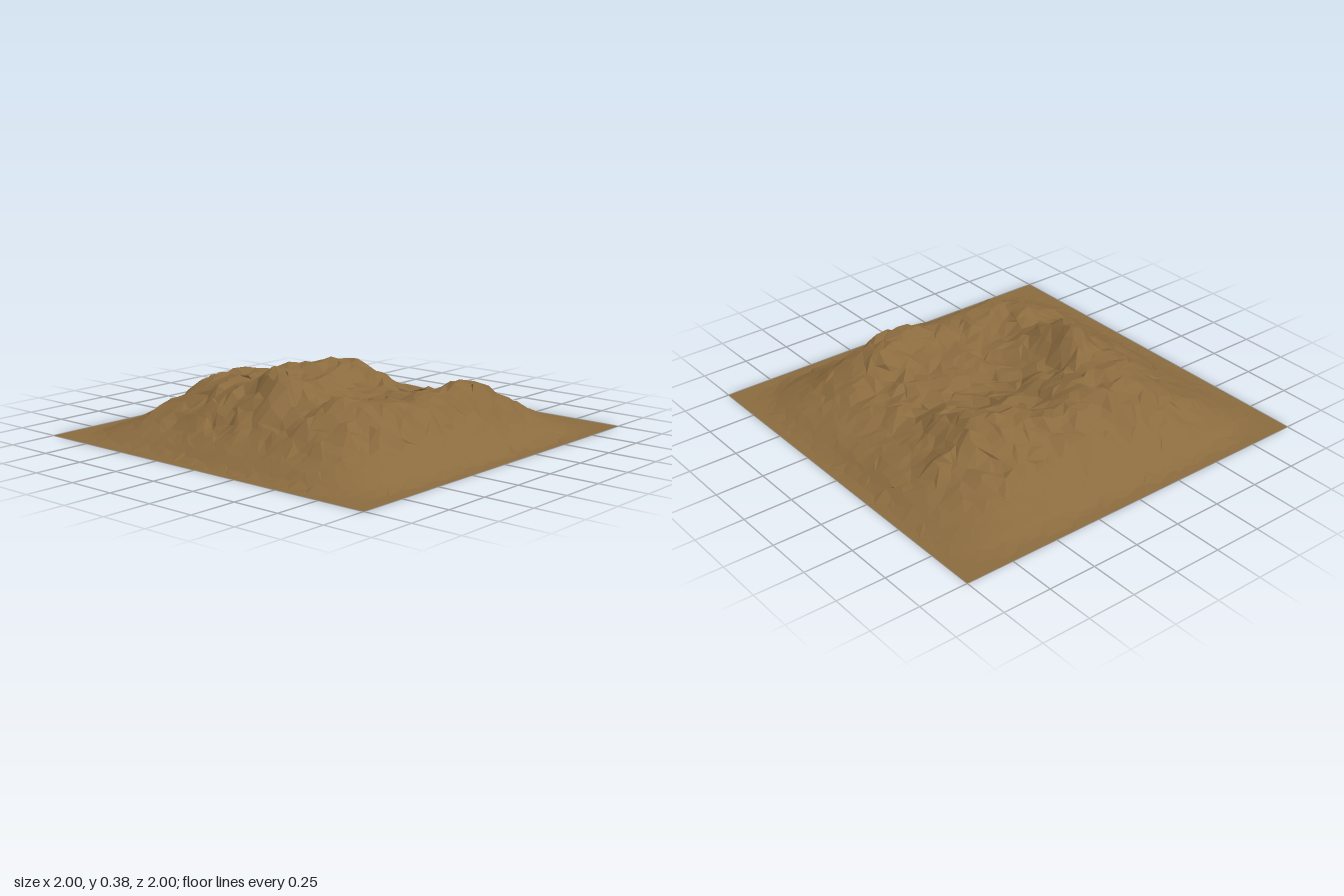
import * as THREE from 'three';

// Broad heights in hundredths, 0.2 apart: rows run back to front, columns from -x to +x
const RELIEF = [
  [3, 5, 7, 8, 7, 6, 6, 6, 3],
  [5, 12, 16, 14, 11, 12, 14, 14, 7],
  [6, 17, 25, 26, 17, 16, 20, 25, 8],
  [7, 20, 26, 22, 15, 17, 23, 28, 9],
  [8, 22, 24, 20, 16, 18, 23, 24, 9],
  [8, 23, 27, 25, 20, 20, 23, 24, 9],
  [8, 23, 28, 29, 34, 26, 27, 24, 8],
  [6, 15, 19, 21, 22, 20, 22, 18, 7],
  [3, 6, 7, 8, 9, 8, 8, 7, 3],
];

// Sharper crests and hollows: x, z, radius, height
const FEATURES = [
  [-0.08, 0.4, 0.08, 0.045],
  [0.06, 0.41, 0.08, 0.03],
  [0.36, 0.45, 0.07, 0.05],
  [0.59, -0.27, 0.12, 0.015],
  [-0.35, -0.66, 0.08, 0.02],
  [0.15, -0.58, 0.08, 0.02],
  [-0.3, -0.02, 0.08, -0.02],
  [-0.28, 0.12, 0.07, 0.03],
  [-0.12, -0.3, 0.1, -0.015],
  [-0.1, 0.24, 0.06, -0.03],
];
const SEGMENTS = 40;

const reliefAt = (col, row) => (RELIEF[row]?.[col] ?? 0) / 100;

function cubic(a, b, c, d, t) {
  return b + 0.5 * t * (c - a + t * (2 * a - 5 * b + 4 * c - d + t * (3 * (b - c) + d - a)));
}

// Mountain mass with its crests and hollows
function massHeight(x, z) {
  const u = (x + 0.8) / 0.2, v = (z + 0.8) / 0.2;
  const c = Math.floor(u), r = Math.floor(v);
  const rows = [-1, 0, 1, 2].map((j) =>
    cubic(...[-1, 0, 1, 2].map((i) => reliefAt(c + i, r + j)), u - c));
  let height = cubic(...rows, v - r);
  for (const [fx, fz, radius, rise] of FEATURES) {
    height += rise * Math.exp(-((x - fx) ** 2 + (z - fz) ** 2) / radius ** 2);
  }
  return Math.max(0, height);
}

// Repeatable value in -1..1 for a lattice point
function hash(i, j, seed) {
  const s = Math.sin(i * 127.1 + j * 311.7 + seed * 74.7) * 43758.5453;
  return 2 * (s - Math.floor(s)) - 1;
}

function noise(x, z, seed) {
  const i = Math.floor(x), j = Math.floor(z);
  const { lerp, smoothstep } = THREE.MathUtils;
  const fx = smoothstep(x - i, 0, 1), fz = smoothstep(z - j, 0, 1);
  return lerp(
    lerp(hash(i, j, seed), hash(i + 1, j, seed), fx),
    lerp(hash(i, j + 1, seed), hash(i + 1, j + 1, seed), fx), fz);
}

function createTerrain() {
  const geometry = new THREE.PlaneGeometry(2, 2, SEGMENTS, SEGMENTS);
  geometry.rotateX(-Math.PI / 2);
  const position = geometry.attributes.position;
  const step = 2 / SEGMENTS;

  for (let n = 0; n < position.count; n++) {
    const i = n % (SEGMENTS + 1), j = Math.floor(n / (SEGMENTS + 1));
    let x = position.getX(n), z = position.getZ(n);

    // Uneven facets inside, straight border outside
    if (Math.max(Math.abs(x), Math.abs(z)) < 0.97) {
      x += hash(i, j, 1) * step * 0.45;
      z += hash(i, j, 2) * step * 0.45;
    }

    // Crags and gullies everywhere above the foot
    const mass = massHeight(x, z);
    const rough = THREE.MathUtils.smoothstep(mass, 0.02, 0.18);
    const crags = 0.014 * noise(x * 8, z * 8, 3) + 0.022 * noise(x * 14, z * 14, 4)
      + 0.009 * hash(i, j, 5);

    // Rounded foot that runs out onto the flat border
    const edge = (x ** 8 + z ** 8) ** (1 / 8);
    const margin = 1 - THREE.MathUtils.smoothstep(edge, 0.84, 0.99);
    position.setXYZ(n, x, Math.max(0, (mass + crags * rough) * margin), z);
  }

  // Alternate the diagonals so the facets do not line up
  const index = geometry.index;
  for (let q = 0; q < SEGMENTS * SEGMENTS; q++) {
    if (hash(q, 0, 6) < 0) continue;
    const a = index.getX(q * 6), b = index.getX(q * 6 + 1);
    const d = index.getX(q * 6 + 2), c = index.getX(q * 6 + 4);
    [a, b, c, a, c, d].forEach((corner, k) => index.setX(q * 6 + k, corner));
  }
  geometry.computeVertexNormals();
  return geometry;
}

export function createModel() {
  const group = new THREE.Group();
  group.name = 'mountain';
  const earth = new THREE.MeshStandardMaterial({
    color: 0x8b6b3f, flatShading: true, side: THREE.DoubleSide,
  });
  const terrain = new THREE.Mesh(createTerrain(), earth);
  terrain.name = 'terrain';
  group.add(terrain);
  return group;
}
